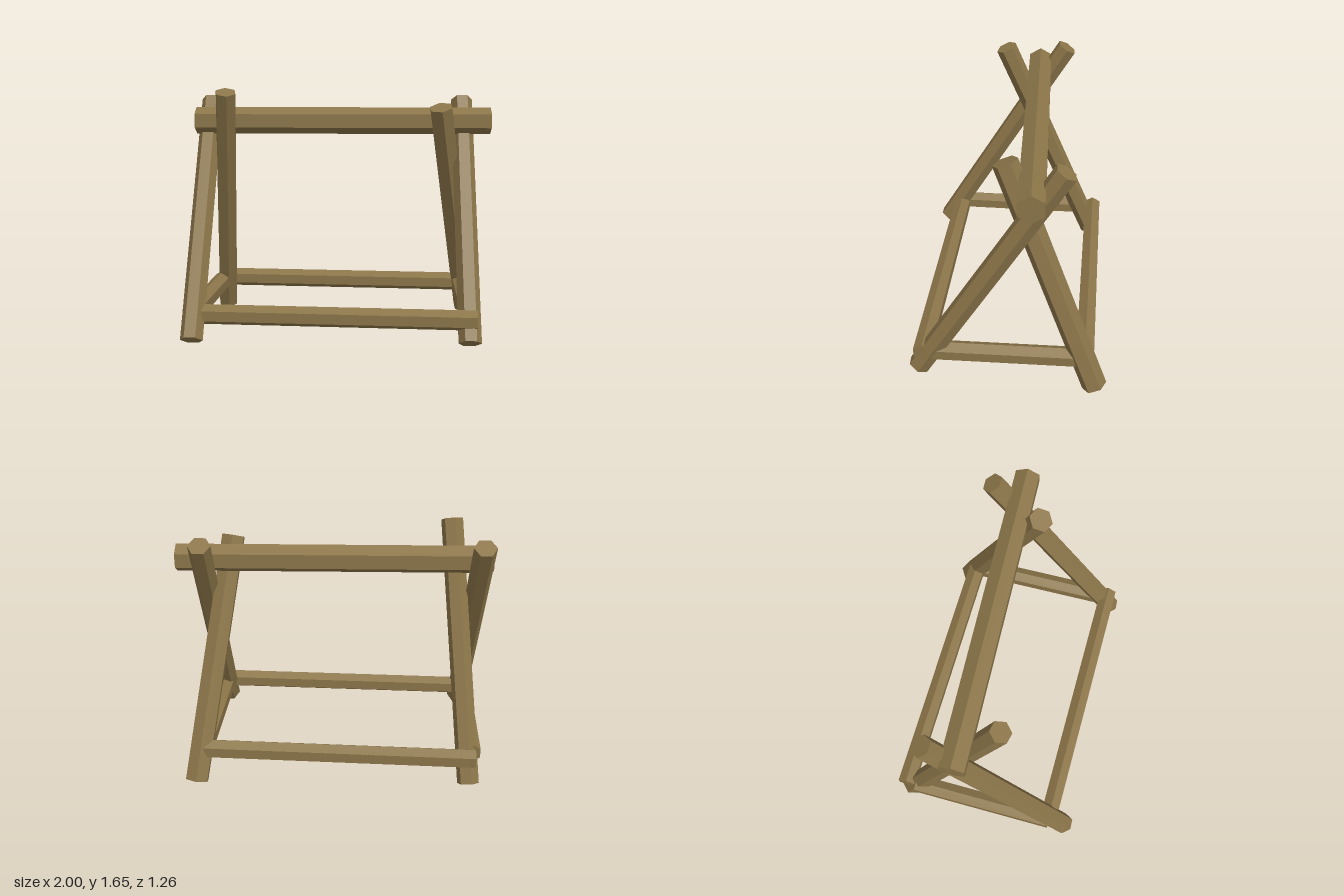
import * as THREE from 'three';

const wood = new THREE.MeshStandardMaterial({ color: 0x8b7549, flatShading: true });

// Six-sided timber from a to b; one corner edge points towards `corner`, then turned by `roll`.
function beam(name, a, b, radius, corner, roll = 0) {
  const start = new THREE.Vector3(...a);
  const end = new THREE.Vector3(...b);
  const axis = end.clone().sub(start);
  const length = axis.length();
  axis.normalize();
  const z = new THREE.Vector3(...corner);
  z.addScaledVector(axis, -z.dot(axis)).normalize().applyAxisAngle(axis, roll);
  const x = new THREE.Vector3().crossVectors(axis, z);

  const mesh = new THREE.Mesh(new THREE.CylinderGeometry(radius, radius, length, 6), wood);
  mesh.quaternion.setFromRotationMatrix(new THREE.Matrix4().makeBasis(x, axis, z));
  mesh.position.copy(start).add(end).multiplyScalar(0.5);
  mesh.name = name;
  return mesh;
}

export function createModel() {
  const group = new THREE.Group();
  group.name = 'timberFrame';
  const X = [1, 0, 0], Y = [0, 1, 0], Z = [0, 0, 1];

  // Top beam resting in the crossed legs
  group.add(beam('ridgeBeam', [-1, 1.425, -0.137], [1, 1.425, -0.137], 0.09, Y));

  // Front legs, leaning back
  for (const [name, x] of [['frontLegRight', -0.922], ['frontLegLeft', 0.82]]) {
    group.add(beam(name, [x, 0.089, 0.578], [x, 1.561, -0.326], 0.0725, X));
  }

  // Rear legs, leaning forward and inward
  group.add(
    beam('rearLegRight', [-0.882, 0.035, -0.555], [-0.757, 1.62, 0.1], 0.071, Z, 0.26),
    beam('rearLegLeft', [0.89, 0.03, -0.55], [0.655, 1.52, 0.025], 0.08, Z)
  );

  // Low rails tying the legs together
  const y = 0.227, r = 0.065;
  group.add(
    beam('frontRail', [-0.865, y, 0.465], [0.865, y, 0.545], r, Y),
    beam('rearRail', [-0.915, y, -0.57], [0.86, y, -0.482], r, Y),
    beam('sideRailRight', [-0.94, y, 0.47], [-0.9, y, -0.5], r, Y),
    beam('sideRailLeft', [0.825, y, 0.49], [0.848, y, -0.49], r, Y)
  );

  return group;
}
